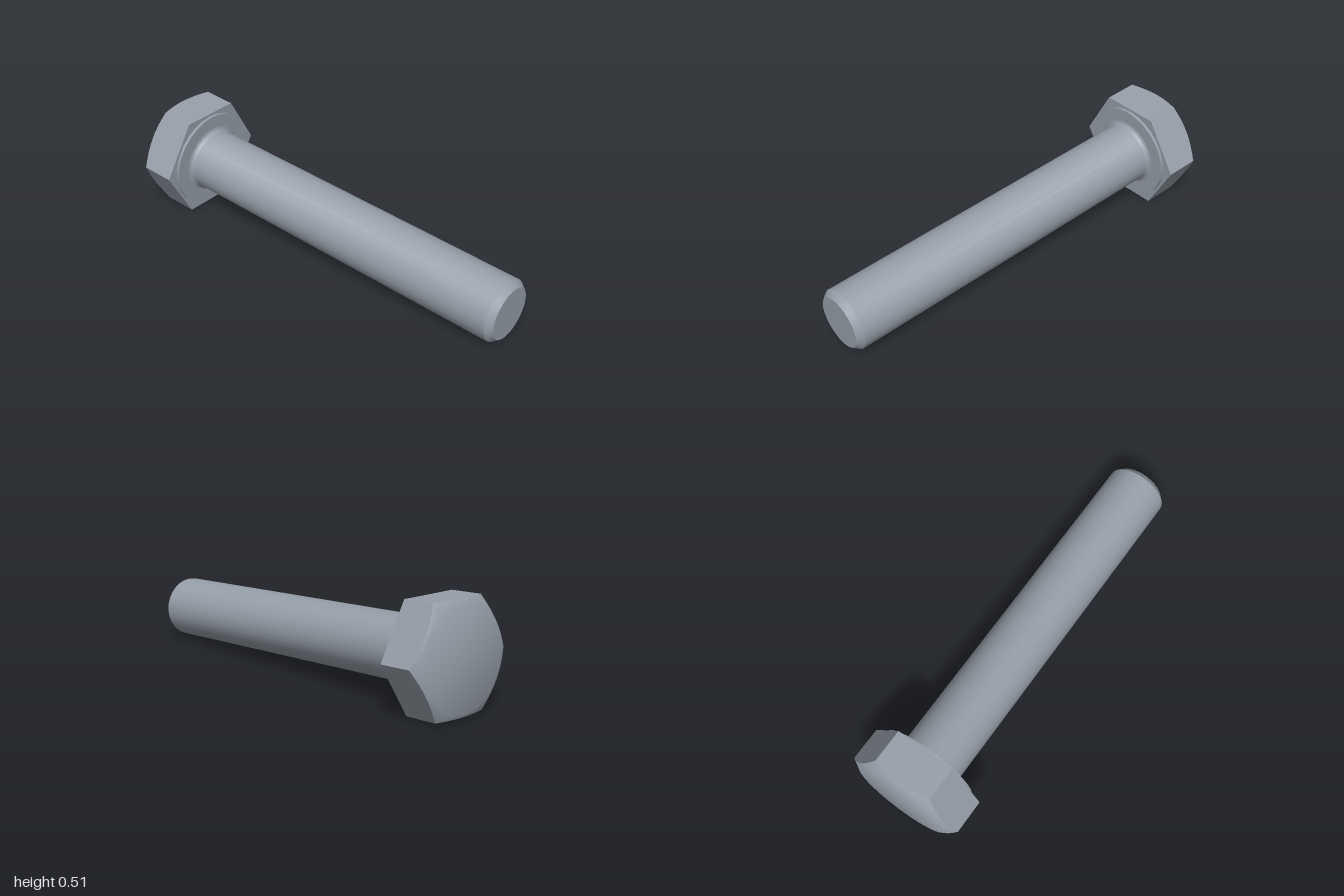
import * as THREE from 'three';
import { toCreasedNormals } from 'three/addons/utils/BufferGeometryUtils.js';

const CREASE = THREE.MathUtils.degToRad(35);

// Hexagonal head: cross-sections from the underside centre to the chamfered outer face
function headGeometry() {
  const apothem = 0.251, top = 0.195, flatR = 0.235, perSide = 8, n = perSide * 6;
  const hexR = (a) => {
    const s = Math.PI / 3;
    return apothem / Math.cos(a - Math.round(a / s) * s);
  };
  const chamfer = (a) => top - (hexR(a) - flatR) * Math.tan(Math.PI / 6);
  const rows = [
    () => [0, 0],
    (a) => [hexR(a), 0],
    (a) => [hexR(a), chamfer(a)],
    () => [flatR, top],
    () => [0, top],
  ];
  const positions = [], index = [];
  rows.forEach((row) => {
    for (let i = 0; i < n; i++) {
      // offset by half a side so that corners fall on a sample
      const a = (i / n) * Math.PI * 2 + Math.PI / 6;
      const [r, y] = row(a);
      positions.push(r * Math.cos(a), y, r * Math.sin(a));
    }
  });
  const last = rows.length - 2;
  for (let j = 0; j <= last; j++) {
    for (let i = 0; i < n; i++) {
      const k = (i + 1) % n;
      const a = j * n + i, b = j * n + k, c = a + n, d = b + n;
      if (j > 0) index.push(a, c, b);
      if (j < last) index.push(b, c, d);
      if (j === 0) continue;
    }
  }
  const g = new THREE.BufferGeometry();
  g.setAttribute('position', new THREE.Float32BufferAttribute(positions, 3));
  g.setIndex(index);
  // the outer side points along -y
  g.rotateX(Math.PI);
  return toCreasedNormals(g, CREASE);
}

// Surface of revolution with sharp creases kept
function lathe(points) {
  const g = new THREE.LatheGeometry(points.map(([r, y]) => new THREE.Vector2(r, y)), 28);
  return toCreasedNormals(g, CREASE);
}

export function createModel() {
  const steel = new THREE.MeshStandardMaterial({ color: 0x98a0aa });
  steel.name = 'steel';
  const model = new THREE.Group();
  model.name = 'hexBolt';
  const bolt = new THREE.Group();
  bolt.name = 'bolt';
  model.add(bolt);
  const add = (name, geometry) => {
    const mesh = new THREE.Mesh(geometry, steel);
    mesh.name = name;
    bolt.add(mesh);
  };

  const shaftR = 0.15, washerH = 0.014, length = 1.78, fillet = 0.022;

  add('hexHead', headGeometry());

  // Round bearing face under the head
  add('washerFace', lathe([[0.238, 0], [0.238, washerH], [shaftR, washerH]]));

  // Shaft with a fillet at the head and a chamfered tip
  const profile = [];
  for (let i = 0; i <= 4; i++) {
    const t = (i / 4) * Math.PI / 2;
    profile.push([shaftR + fillet * (1 - Math.sin(t)), washerH + fillet * (1 - Math.cos(t))]);
  }
  profile.push([shaftR, length - 0.03], [0.125, length], [0, length]);
  add('shaft', lathe(profile));

  // Lean the bolt so that it rests on its head and tip, one head flat upward
  const axis = new THREE.Vector3(0.9765, -0.0566, 0.208).normalize();
  const up = new THREE.Vector3(0, 1, 0).addScaledVector(axis, -axis.y).normalize();
  const side = new THREE.Vector3().crossVectors(up, axis);
  // local z carries a head flat after the quarter turn below
  bolt.quaternion.setFromRotationMatrix(new THREE.Matrix4().makeBasis(up, axis, side));
  bolt.position.set(-0.766, 0.253, -0.094);
  return model;
}
